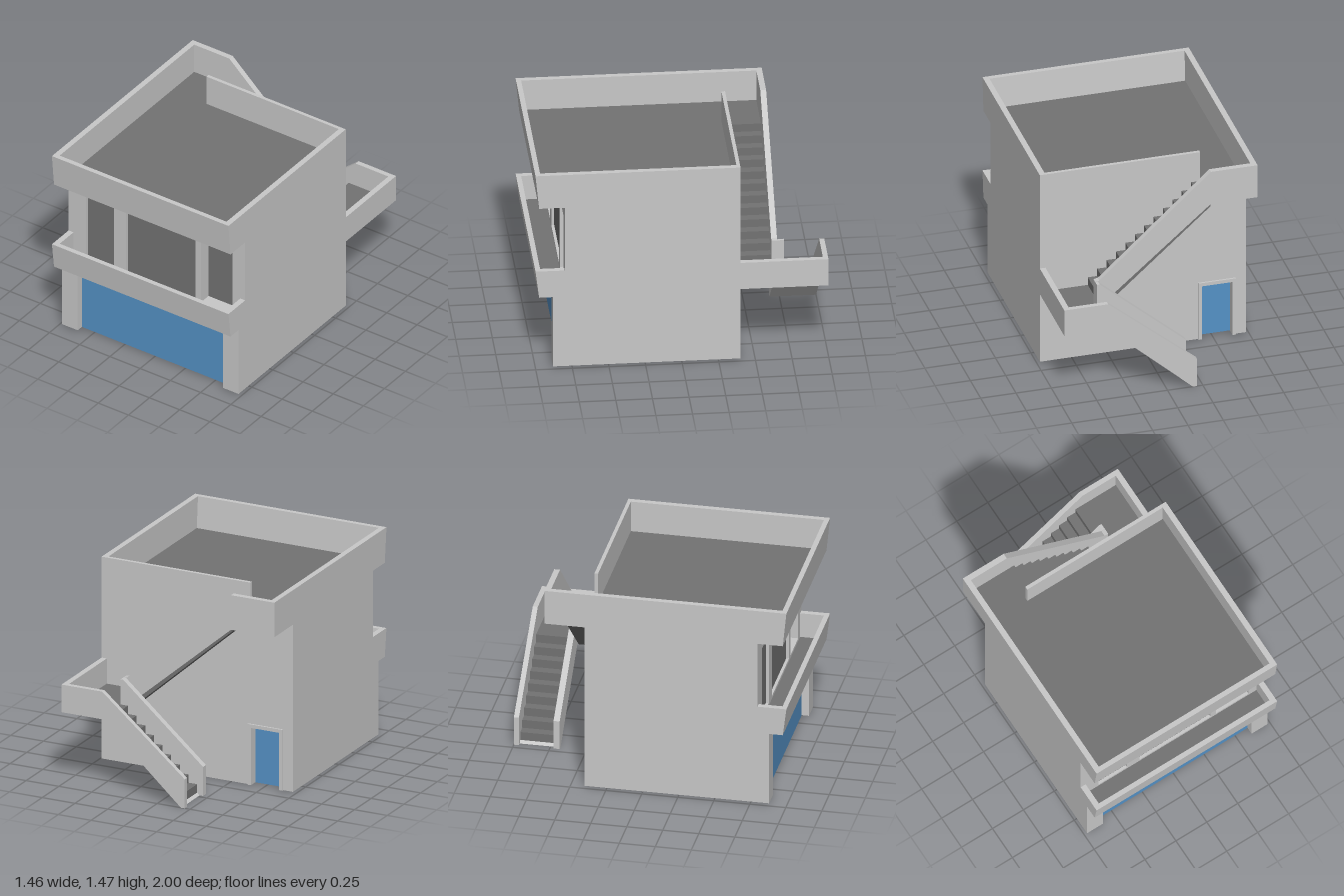
import * as THREE from 'three';

const material = (name, color, side = THREE.FrontSide) => {
  const m = new THREE.MeshStandardMaterial({ color, side });
  m.name = name;
  return m;
};

export function createModel() {
  const house = new THREE.Group();
  house.name = 'house';
  const wall = material('light plaster', 0xc8c8c8);
  const dark = material('dark floor and glass', 0x737373);
  const blue = material('blue door', 0x5592c6);

  const add = (name, geometry, mat) => {
    const mesh = new THREE.Mesh(geometry, mat);
    mesh.name = name;
    house.add(mesh);
    return mesh;
  };
  // box given by its limits on each axis
  const box = (name, mat, [x0, x1], [y0, y1], [z0, z1]) => {
    const g = new THREE.BoxGeometry(x1 - x0, y1 - y0, z1 - z0);
    g.translate((x0 + x1) / 2, (y0 + y1) / 2, (z0 + z1) / 2);
    return add(name, g, mat);
  };
  const toShape = (pts) => new THREE.Shape(pts.map(([u, v]) => new THREE.Vector2(u, v)));
  // outline in x,y extruded from z0 to z1
  const alongZ = (name, mat, pts, z0, z1, holes = []) => {
    const shape = toShape(pts);
    shape.holes = holes.map(toShape);
    const g = new THREE.ExtrudeGeometry(shape, { depth: z1 - z0, bevelEnabled: false });
    return add(name, g.translate(0, 0, z0), mat);
  };
  // outline in z,y extruded from x0 to x1
  const alongX = (name, mat, pts, x0, x1) => {
    const g = new THREE.ExtrudeGeometry(toShape(pts), { depth: x1 - x0, bevelEnabled: false });
    return add(name, g.rotateY(-Math.PI / 2).translate(x1, 0, 0), mat);
  };
  const rect = (x0, x1, y0, y1) => [[x0, y0], [x1, y0], [x1, y1], [x0, y1]];

  // side walls, including the ends of balcony, parapet and landings
  const front = [[0.88, 0.01], [0.88, 0.54], [0.975, 0.54], [1, 0.74], [0.8, 0.74],
    [0.8, 1.22], [0.975, 1.22], [1, 1.47]];
  alongX('leftWall', wall, [[-0.4, 0.01], ...front, [-0.4, 1.47],
    [-0.4, 0.74], [-1, 0.74], [-1, 0.54], [-0.4, 0.54]], 0.69, 0.73);
  alongX('rightWall', wall, [[-0.4, 0.01], ...front, [-0.68, 1.47],
    [-0.68, 1.22], [-0.4, 1.22]], -0.73, -0.69);

  // back wall with doorway, lowered where the stair reaches the roof
  alongZ('backWall', wall, [[-0.69, 0.01], [-0.63, 0.01], [-0.63, 0.425], [-0.415, 0.425],
    [-0.415, 0.01], [0.69, 0.01], [0.69, 1.47], [-0.405, 1.47], [-0.405, 1.22], [-0.69, 1.22]],
  -0.4, -0.375);
  alongZ('backDoorFrame', wall, [[-0.655, 0.01], [-0.63, 0.01], [-0.63, 0.425], [-0.415, 0.425],
    [-0.415, 0.01], [-0.39, 0.01], [-0.39, 0.45], [-0.655, 0.45]], -0.413, -0.34);
  box('backDoor', blue, [-0.63, -0.415], [0.01, 0.425], [-0.346, -0.34]);

  // ground floor front
  for (const s of [-1, 1]) {
    const x = [0.6 * s, 0.69 * s].sort((a, b) => a - b);
    box('frontPier', wall, x, [0.01, 0.545], [0.83, 0.88]);
  }
  box('garageDoor', blue, [-0.6, 0.6], [0.01, 0.545], [0.823, 0.83]);

  // upper front wall with three openings
  const openings = [[-0.585, -0.355, 0.02], [-0.255, 0.32, 0.02], [0.365, 0.627, 0.09]];
  alongZ('upperFrontWall', wall, rect(-0.69, 0.69, 0.55, 1.23), 0.78, 0.8,
    openings.map(([a, b]) => rect(a, b, 0.58, 1.11)));
  for (const [a, b, depth] of openings) {
    box('window', dark, [a, b], [0.58, 1.11], [0.793 - depth, 0.8 - depth]);
  }
  const [a, b] = openings[2];
  alongZ('windowReveal', wall, rect(a - 0.01, b + 0.01, 0.57, 1.12), 0.703, 0.78,
    [rect(a, b, 0.58, 1.11)]);

  // balcony and roof parapets with the same leaning section
  const parapet = (name, y0, y1) => alongX(name, wall,
    [[0.945, y0], [0.975, y0], [1, y1], [0.965, y1]], -0.69, 0.69);
  parapet('balconyParapet', 0.54, 0.74);
  parapet('roofParapet', 1.22, 1.47);

  // balcony floor
  box('balconySoffit', wall, [-0.69, 0.69], [0.54, 0.552], [0.83, 0.95]);
  box('balconyFloor', dark, [-0.69, 0.69], [0.552, 0.56], [0.78, 0.95]);

  // roof and its landing
  box('roofSlab', wall, [-0.69, 0.69], [1.22, 1.238], [-0.376, 0.95]);
  box('roofFloor', dark, [-0.69, 0.69], [1.238, 1.245], [-0.376, 0.947]);
  box('roofLandingSlab', wall, [-0.69, -0.4], [1.22, 1.238], [-0.64, -0.376]);
  box('roofLandingFloor', dark, [-0.69, -0.4], [1.238, 1.245], [-0.64, -0.376]);

  // middle landing
  box('landingSlab', wall, [0.41, 0.69], [0.54, 0.551], [-0.965, -0.4]);
  box('landingFloor', dark, [0.39, 0.69], [0.551, 0.558], [-0.965, -0.4]);

  // stepped outline from a start point
  const steps = (x, y, run, rise, count) => {
    const pts = [[x, y]];
    for (let i = 0; i < count; i++) {
      pts.push([x + run * i, y + rise * (i + 1)], [x + run * (i + 1), y + rise * (i + 1)]);
    }
    return pts;
  };

  // lower flight
  alongZ('lowerSteps', dark, steps(-0.165, 0.018, 0.066, 0.06, 9), -0.965, -0.725);
  alongZ('lowerSoffit', wall, [[-0.184, 0], [-0.18, 0], [0.42, 0.54], [0.416, 0.54]], -0.965, -0.725);
  const foot = [[-0.21, 0.21], [-0.21, 0], [-0.18, 0], [0.42, 0.54]];
  alongZ('lowerOuterParapet', wall, [...foot, [0.69, 0.54], [0.69, 0.74], [0.42, 0.74]], -1, -0.965);
  alongZ('lowerInnerParapet', wall, [...foot, [0.42, 0.74], [0.4, 0.74]], -0.725, -0.682);

  // upper flight
  alongZ('upperSteps', dark, [[0.39, 0.5], ...steps(0.39, 0.56, -0.0664, 0.0571, 12).slice(1, -1),
    [-0.4, 1.245], [-0.4, 1.2]], -0.675, -0.4);
  alongZ('upperParapet', wall, [[-0.69, 1.22], [-0.4, 1.22], [0.39, 0.54], [0.42, 0.54],
    [0.42, 0.74], [0.39, 0.745], [-0.4, 1.47], [-0.69, 1.47]], -0.68, -0.64);

  return house;
}
